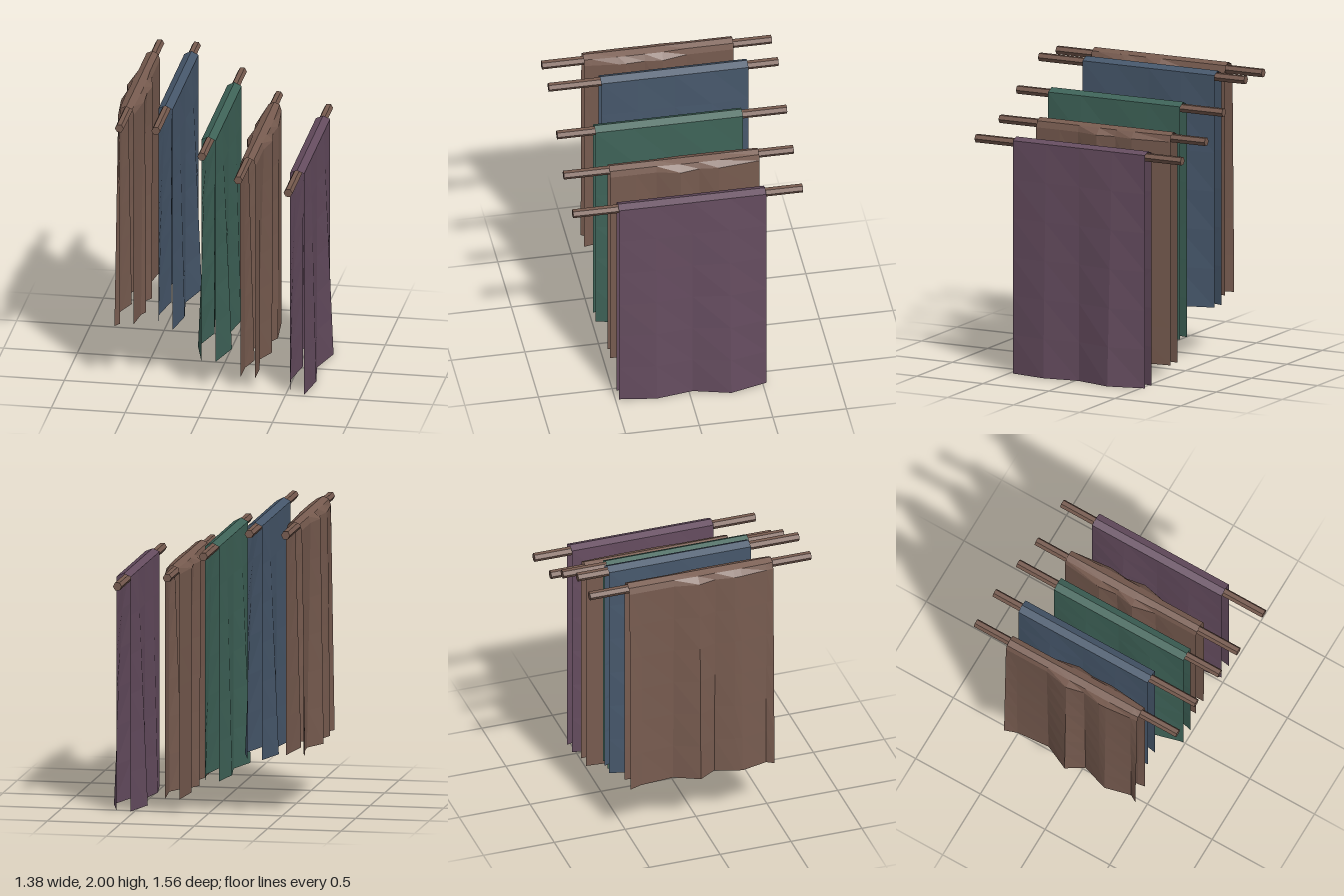
import * as THREE from 'three';

const mat = (name, color, side = THREE.FrontSide) => {
  const m = new THREE.MeshStandardMaterial({ color, side, flatShading: true });
  m.name = name;
  return m;
};

// Sheet draped over a rod. Each station along z: [z, topLeft, hemLeft, topRight, hemRight],
// the last four being half-widths from the rod's centre line.
function drapeGeometry(top, bottom, stations, shoulderDrop) {
  const rows = 6;
  const side = (z, topHalf, hemHalf, sign) => {
    const pts = [];
    const shoulder = top - shoulderDrop;
    for (let i = 0; i <= rows; i++) {
      const t = i / rows;
      pts.push([sign * (topHalf + (hemHalf - topHalf) * t), shoulder + (bottom - shoulder) * t, z]);
    }
    // bevel between the ridge and the hanging panel
    if (shoulderDrop > 0.03) pts.unshift([sign * Math.min(0.047, topHalf * 0.75), top - 0.018, z]);
    return pts;
  };
  const sections = stations.map(([z, tl, hl, tr, hr]) => [
    ...side(z, tl, hl, -1).reverse(), [0, top, z], ...side(z, tr, hr, 1)]);
  const n = sections[0].length;
  const index = [];
  for (let s = 0; s < sections.length - 1; s++) {
    for (let i = 0; i < n - 1; i++) {
      const a = s * n + i, b = a + 1, c = a + n, d = c + 1;
      index.push(a, c, b, b, c, d);
    }
  }
  const g = new THREE.BufferGeometry();
  g.setAttribute('position', new THREE.Float32BufferAttribute(sections.flat(2), 3));
  g.setIndex(index);
  g.computeVertexNormals();
  return g;
}

// Even folds: hem flares at the quarter points, back fold first
const evenFolds = (back, backFlare, frontFlare) =>
  [0.048, backFlare, 0.048, frontFlare, 0.048].map((h, i) => [back + i * 0.25, 0.048, h, 0.048, h]);

export function createModel() {
  const model = new THREE.Group();
  model.name = 'hangingCloths';

  const wood = mat('brown wood', 0x785c50);
  const brown = mat('brown cloth', 0x785c50, THREE.DoubleSide);
  const blue = mat('blue cloth', 0x47586c, THREE.DoubleSide);
  const green = mat('green cloth', 0x3f6459, THREE.DoubleSide);
  const purple = mat('purple cloth', 0x664d60, THREE.DoubleSide);

  // Irregular folds of the two coarse cloths
  const coarseA = [
    [-0.515, 0.055, 0.08, 0.05, 0.05],
    [-0.43, 0.055, 0.05, 0.05, 0.04],
    [-0.2, 0.055, 0.03, 0.05, 0.01],
    [-0.03, 0.088, 0.11, 0.085, 0.08],
    [0.09, 0.06, 0.035, 0.07, 0.0],
    [0.22, 0.08, 0.08, 0.077, 0.085],
    [0.27, 0.078, 0.095, 0.073, 0.06],
    [0.45, 0.06, 0.05, 0.055, 0.04],
    [0.5, 0.055, 0.08, 0.05, 0.05],
  ];
  const coarseB = [
    [-0.54, 0.05, 0.05], [-0.26, 0.08, 0.075], [-0.13, 0.065, 0.01], [0, 0.088, 0.08],
    [0.16, 0.053, 0.01], [0.3, 0.053, 0.05], [0.475, 0.053, 0.05],
  ].map(([z, t, h]) => [z, t, h, t, h]);

  const cloths = [
    { name: 'brownClothLeft', x: -0.58, top: 2.0, bottom: 0.415, m: brown, folds: coarseA, drop: 0.06 },
    { name: 'blueCloth', x: -0.327, top: 1.995, bottom: 0.385, m: blue, folds: evenFolds(-0.57, 0.115, 0.087), drop: 0.025 },
    { name: 'greenCloth', x: -0.018, top: 1.83, bottom: 0.215, m: green, folds: evenFolds(-0.475, 0.087, 0.115), drop: 0.025 },
    { name: 'brownClothRight', x: 0.24, top: 1.68, bottom: 0.095, m: brown, folds: coarseB, drop: 0.06 },
    { name: 'purpleCloth', x: 0.574, top: 1.61, bottom: 0, m: purple, folds: evenFolds(-0.525, 0.115, 0.086), drop: 0.02 },
  ];
  const rods = [[-0.578, 1.952], [-0.33, 1.952], [-0.018, 1.788], [0.228, 1.635], [0.567, 1.567]];

  // Six-sided rod with corners pointing sideways
  const rodGeo = new THREE.CylinderGeometry(0.03, 0.03, 1.56, 6).rotateY(Math.PI / 2).rotateX(Math.PI / 2);

  cloths.forEach((c, i) => {
    const rack = new THREE.Group();
    rack.name = c.name + 'Rack';
    const rod = new THREE.Mesh(rodGeo, wood);
    rod.name = 'rod';
    rod.position.set(rods[i][0], rods[i][1], 0);
    const cloth = new THREE.Mesh(drapeGeometry(c.top, c.bottom, c.folds, c.drop), c.m);
    cloth.name = c.name;
    cloth.position.x = c.x;
    rack.add(rod, cloth);
    model.add(rack);
  });
  return model;
}
